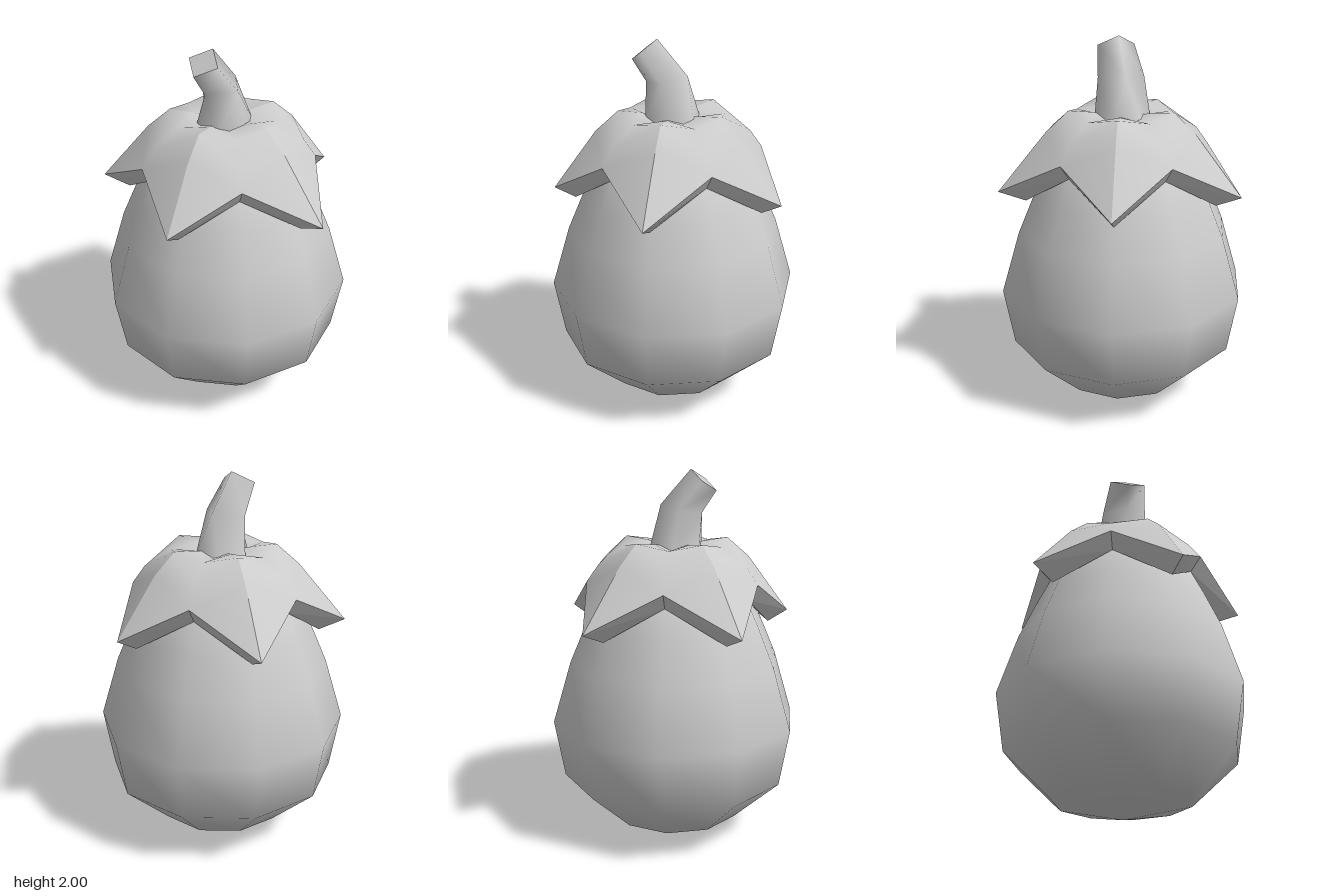
import * as THREE from 'three';
import { mergeVertices, mergeGeometries } from 'three/addons/utils/BufferGeometryUtils.js';

const grey = (opts = {}) => new THREE.MeshStandardMaterial({ color: 0xcccccc, ...opts });

// Skin between rings of points listed from top to bottom; coincident points are welded.
function loft(rings) {
  const n = rings[0].length;
  const index = [];
  for (let k = 0; k < rings.length - 1; k++) {
    for (let j = 0; j < n - 1; j++) {
      const a = k * n + j, b = a + 1, d = a + n, c = d + 1;
      if (j % 2 === 0) index.push(a, d, c, a, c, b);
      else index.push(a, d, b, d, c, b);
    }
  }
  const geo = new THREE.BufferGeometry();
  geo.setAttribute('position', new THREE.Float32BufferAttribute(rings.flat(2), 3));
  geo.setIndex(index);
  const welded = mergeVertices(geo, 1e-4);
  welded.computeVertexNormals();
  return welded;
}

function addMesh(group, name, geo, material) {
  const mesh = new THREE.Mesh(geo, material);
  mesh.name = name;
  group.add(mesh);
}

// Ten-sided smooth fruit
function body() {
  const profile = [
    [0, 0.005], [0.365, 0.09], [0.622, 0.33], [0.676, 0.645], [0.575, 0.98],
    [0.485, 1.19], [0.41, 1.35], [0.27, 1.5], [0, 1.56],
  ].map(([r, y]) => new THREE.Vector2(r, y));
  return new THREE.LatheGeometry(profile, 10);
}

// Leaf cap: five pointed sepals, column 0 is the front tip
const tipRadius = [0.675, 0.64, 0.668, 0.668, 0.64];

function capPoint(j, [r, y]) {
  const a = (j * Math.PI) / 5;
  return [r * Math.sin(a), y, r * Math.cos(a)];
}

function capRings(from, to, ridge, valley) {
  return ridge.map((_, k) => {
    const ring = [];
    for (let j = from; j <= to; j++) {
      let p = j % 2 ? valley[k] : ridge[k];
      // null marks the tip, whose reach varies a little
      if (!p) p = [tipRadius[(j / 2) % 5], 1.22];
      ring.push(capPoint(j, p));
    }
    return ring;
  });
}

function capTop() {
  const ridge = [[0.05, 1.6], [0.16, 1.62], [0.29, 1.635], [0.41, 1.53], null];
  const valley = [[0.05, 1.58], [0.15, 1.59], [0.27, 1.605], [0.41, 1.51], [0.475, 1.42]];
  // One sector per gap keeps the ridges sharp and the valleys smooth
  const sectors = [];
  for (let s = 0; s < 5; s++) sectors.push(loft(capRings(2 * s, 2 * s + 2, ridge, valley)));
  return mergeGeometries(sectors);
}

function capRim() {
  // Thick edge, then the underside tucked into the body
  const ridge = [null, [0.53, 1.16], [0.36, 1.36]];
  const valley = [[0.475, 1.42], [0.415, 1.34], [0.33, 1.4]];
  return loft(capRings(0, 10, ridge, valley));
}

// Bent stem: hexagonal foot narrowing to a diamond end
function stemRing({ left, right, halfDepth, flat }) {
  const [xl, yl] = left, [xr, yr] = right;
  const xm = (xl + xr) / 2, ym = (yl + yr) / 2;
  return [
    [xm, ym, halfDepth], [xr, yr, flat], [xr, yr, -flat],
    [xm, ym, -halfDepth], [xl, yl, -flat], [xl, yl, flat], [xm, ym, halfDepth],
  ];
}

export function createModel() {
  const group = new THREE.Group();
  group.name = 'eggplant';

  addMesh(group, 'body', body(), grey());
  addMesh(group, 'leafCap', capTop(), grey());
  addMesh(group, 'leafCapRim', capRim(), grey({ flatShading: true, side: THREE.DoubleSide }));

  const end = stemRing({ left: [-0.22, 1.89], right: [-0.085, 2.0], halfDepth: 0.1, flat: 0 });
  const bend = stemRing({ left: [-0.145, 1.775], right: [0.075, 1.815], halfDepth: 0.125, flat: 0 });
  const foot = stemRing({ left: [-0.135, 1.58], right: [0.128, 1.58], halfDepth: 0.152, flat: 0.075 });
  addMesh(group, 'stem', loft([end, bend, foot]), grey());
  const centre = end.map(() => [-0.1525, 1.945, 0]);
  addMesh(group, 'stemEnd', loft([centre, end]), grey({ flatShading: true }));

  return group;
}
